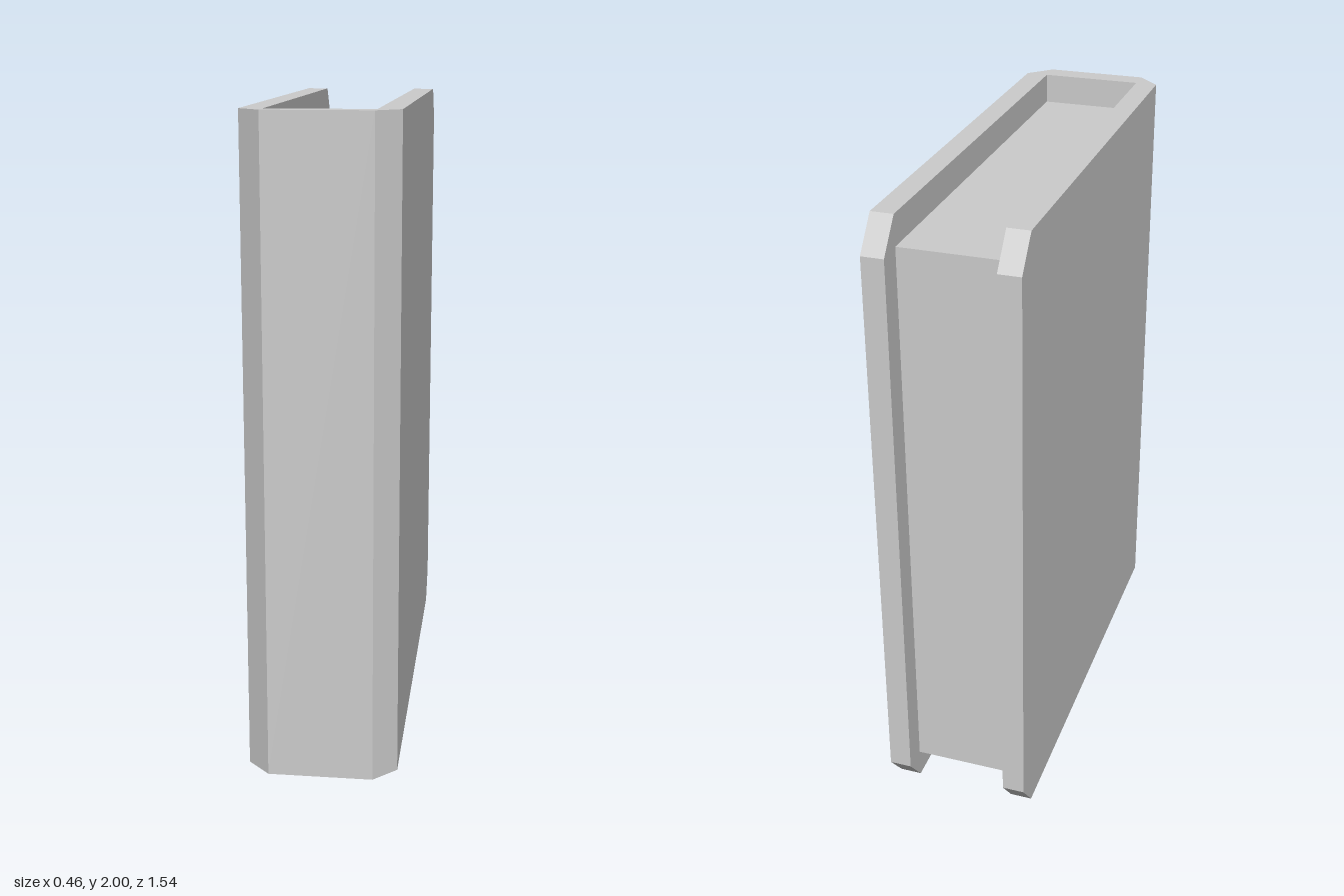
import * as THREE from 'three';

const H = 2;          // cover height
const OUT = 0.23;     // outer half thickness
const IN = 0.16;      // half thickness of the page block
const BACK = -0.77, CHAMFER = -0.69, SPINE = 0.70, FRONT = 0.77;
const RECESS = 0.095; // page block inset at top and bottom

// Jacket: a rectangular section carried around a U, from one fore edge to the other
function coverGeometry() {
  // outer x, outer z, inner x, inner z, inset from top and bottom
  const half = [
    [OUT, BACK, IN, BACK, 0.1],
    [OUT, CHAMFER, IN, CHAMFER, 0],
    [OUT, SPINE, IN, SPINE, 0],
    [IN, FRONT, IN, SPINE, 0],
  ];
  const stations = [
    ...half.map(([ox, oz, ix, iz, d]) => [-ox, oz, -ix, iz, d]),
    ...half.slice().reverse(),
  ];
  const rings = stations.map(([ox, oz, ix, iz, d]) => [
    new THREE.Vector3(ox, d, oz), new THREE.Vector3(ox, H - d, oz),
    new THREE.Vector3(ix, H - d, iz), new THREE.Vector3(ix, d, iz),
  ]);

  const points = [];
  const triangle = (a, b, c) => {
    if (new THREE.Triangle(a, b, c).getArea() > 1e-8) points.push(a, b, c);
  };
  const quad = (a, b, c, d) => { triangle(a, b, c); triangle(a, c, d); };

  for (let i = 0; i < rings.length - 1; i++) {
    const r = rings[i], s = rings[i + 1];
    for (let k = 0; k < 4; k++) quad(r[k], s[k], s[(k + 1) % 4], r[(k + 1) % 4]);
  }
  // fore-edge ends
  quad(...rings[0]);
  quad(...rings[rings.length - 1].slice().reverse());

  const geometry = new THREE.BufferGeometry().setFromPoints(points);
  geometry.computeVertexNormals();
  return geometry;
}

export function createModel() {
  const group = new THREE.Group();
  group.name = 'book';
  const material = new THREE.MeshStandardMaterial({ color: 0xcccccc, flatShading: true });

  const cover = new THREE.Mesh(coverGeometry(), material);
  cover.name = 'cover';

  // Page block set back from the cover edges
  const pages = new THREE.Mesh(
    new THREE.BoxGeometry(2 * IN, H - 2 * RECESS, SPINE - CHAMFER), material);
  pages.name = 'pages';
  pages.position.set(0, H / 2, (SPINE + CHAMFER) / 2);

  group.add(cover, pages);
  return group;
}
